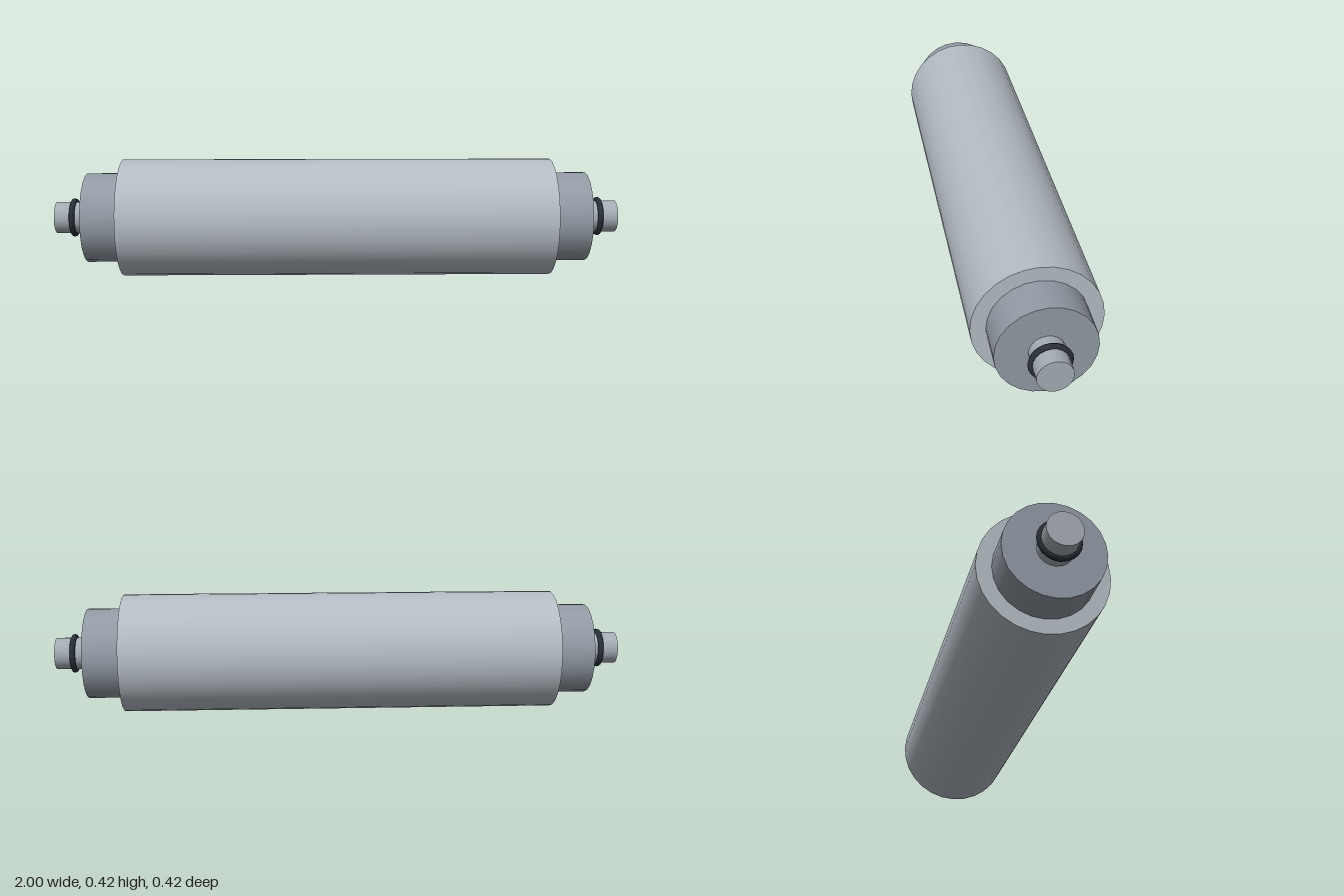
import * as THREE from 'three';

const AXIS_Y = 0.209;

const paint = (color) => new THREE.MeshStandardMaterial({ color });

export function createModel() {
  const model = new THREE.Group();
  model.name = 'roller';

  const bodyPaint = paint(0xb4bcc4);
  const capPaint = paint(0x929aa4);
  const shaftPaint = paint(0xa4acb4);
  const ringPaint = paint(0x2a3038);

  // Solid cylinder lying along x on the roller axis
  function drum(name, radius, x0, x1, sides, material) {
    const geometry = new THREE.CylinderGeometry(radius, radius, x1 - x0, sides);
    geometry.rotateZ(-Math.PI / 2);
    const mesh = new THREE.Mesh(geometry, material);
    mesh.name = name;
    mesh.position.set((x0 + x1) / 2, AXIS_Y, 0);
    model.add(mesh);
  }

  // Main roller tube
  drum('rollerBody', 0.208, -0.76, 0.76, 28, bodyPaint);

  // Bearing caps, shaft stubs and retaining rings, mirrored at both ends
  for (const side of [-1, 1]) {
    const label = side > 0 ? 'left' : 'right';
    const span = (a, b) => (side > 0 ? [a, b] : [-b, -a]);
    drum(label + 'BearingCap', 0.159, ...span(0.74, 0.888), 24, capPaint);
    drum(label + 'Shaft', 0.056, ...span(0.86, 1), 20, shaftPaint);

    const ring = new THREE.Mesh(new THREE.TorusGeometry(0.059, 0.01, 8, 20), ringPaint);
    ring.name = label + 'RetainingRing';
    ring.rotation.y = Math.PI / 2;
    ring.position.set(side * 0.937, AXIS_Y, 0);
    model.add(ring);
  }

  return model;
}
